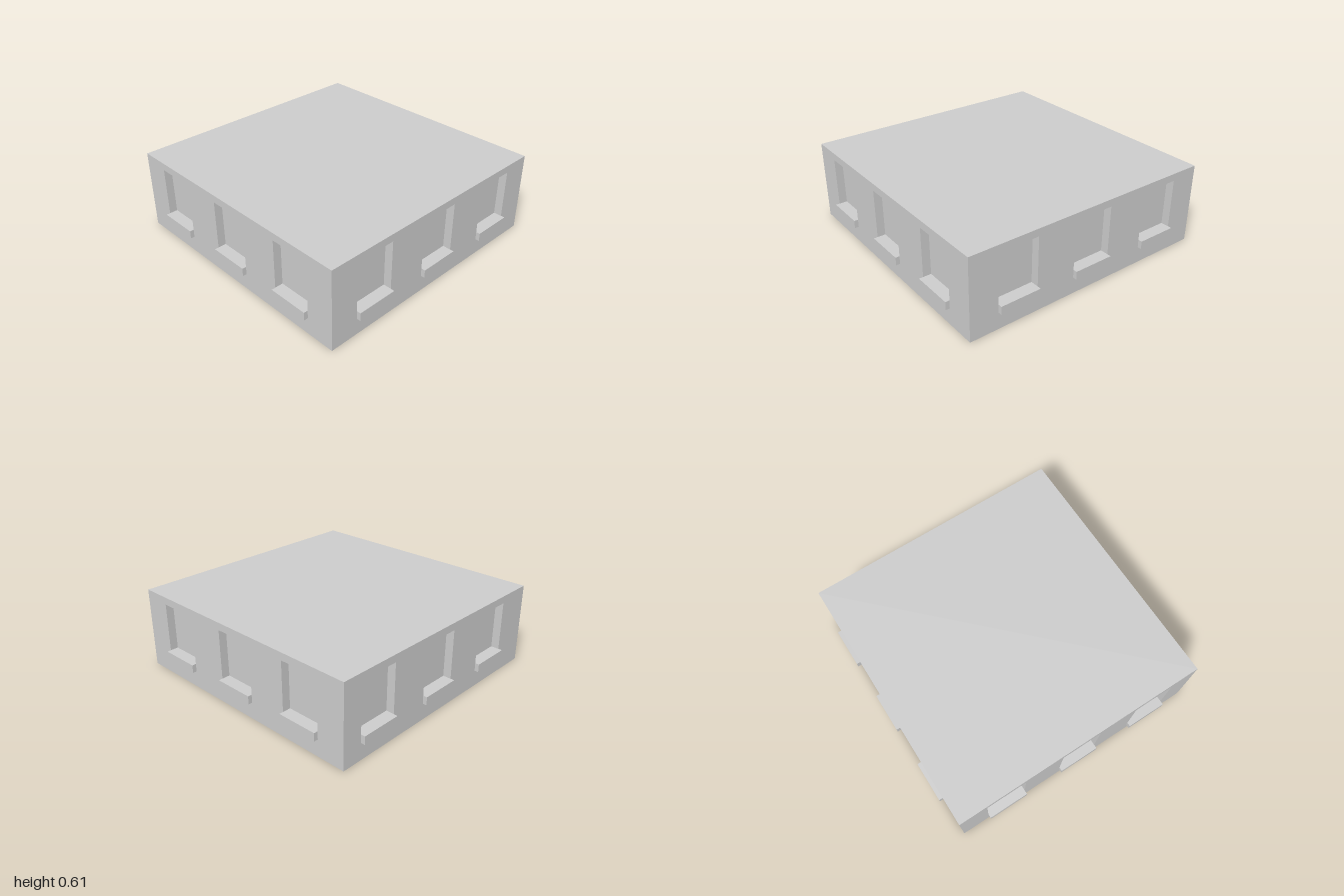
import * as THREE from 'three';

const HALF = 0.97;      // half width of the square block
const HEIGHT = 0.605;
const WIN = { width: 0.305, bottom: 0.185, top: 0.55, depth: 0.06, spacing: 0.606 };
const SILL = { height: 0.06, depth: 0.03 };

const grey = new THREE.MeshStandardMaterial({ color: 0xcccccc, flatShading: true });
const greyOpen = new THREE.MeshStandardMaterial({ color: 0xcccccc, flatShading: true, side: THREE.DoubleSide });

function add(parent, name, geometry, material, x, y, z) {
  const mesh = new THREE.Mesh(geometry, material);
  mesh.name = name;
  mesh.position.set(x, y, z);
  parent.add(mesh);
  return mesh;
}

// Rectangle outline, added to a shape or a hole
function rect(path, x0, y0, x1, y1) {
  path.moveTo(x0, y0).lineTo(x1, y0).lineTo(x1, y1).lineTo(x0, y1).closePath();
  return path;
}

// Box lining of a window niche, without its front face
function nicheGeometry() {
  const geo = new THREE.BoxGeometry(WIN.width, WIN.top - WIN.bottom, WIN.depth);
  const index = Array.from(geo.index.array);
  index.splice(24, 6);
  geo.setIndex(index);
  geo.clearGroups();
  return geo;
}

// One wall facing +z with three niches and sills
function createWall(name, shift) {
  const wall = new THREE.Group();
  wall.name = name;
  const shape = rect(new THREE.Shape(), -HALF, 0, HALF, HEIGHT);
  for (const i of [-1, 0, 1]) {
    const x = i * WIN.spacing + shift;
    const w = WIN.width / 2;
    shape.holes.push(rect(new THREE.Path(), x - w, WIN.bottom, x + w, WIN.top));
    add(wall, 'windowNiche', nicheGeometry(), greyOpen,
      x, (WIN.bottom + WIN.top) / 2, HALF - WIN.depth / 2);
    add(wall, 'windowSill', new THREE.BoxGeometry(WIN.width, SILL.height, SILL.depth), grey,
      x, WIN.bottom - SILL.height / 2, HALF + SILL.depth / 2);
  }
  add(wall, 'wallFace', new THREE.ShapeGeometry(shape), grey, 0, 0, HALF);
  return wall;
}

export function createModel() {
  const model = new THREE.Group();
  model.name = 'buildingStorey';

  // Four walls; the windows of the back wall sit slightly off centre
  const walls = [['frontWall', 0], ['leftWall', 0], ['backWall', -0.06], ['rightWall', 0]];
  walls.forEach(([name, shift], i) => {
    const wall = createWall(name, shift);
    wall.rotation.y = i * Math.PI / 2;
    model.add(wall);
  });

  // Flat roof and underside
  const slab = new THREE.PlaneGeometry(2 * HALF, 2 * HALF);
  add(model, 'roof', slab, grey, 0, HEIGHT, 0).rotation.x = -Math.PI / 2;
  add(model, 'base', slab, grey, 0, 0, 0).rotation.x = Math.PI / 2;

  return model;
}
